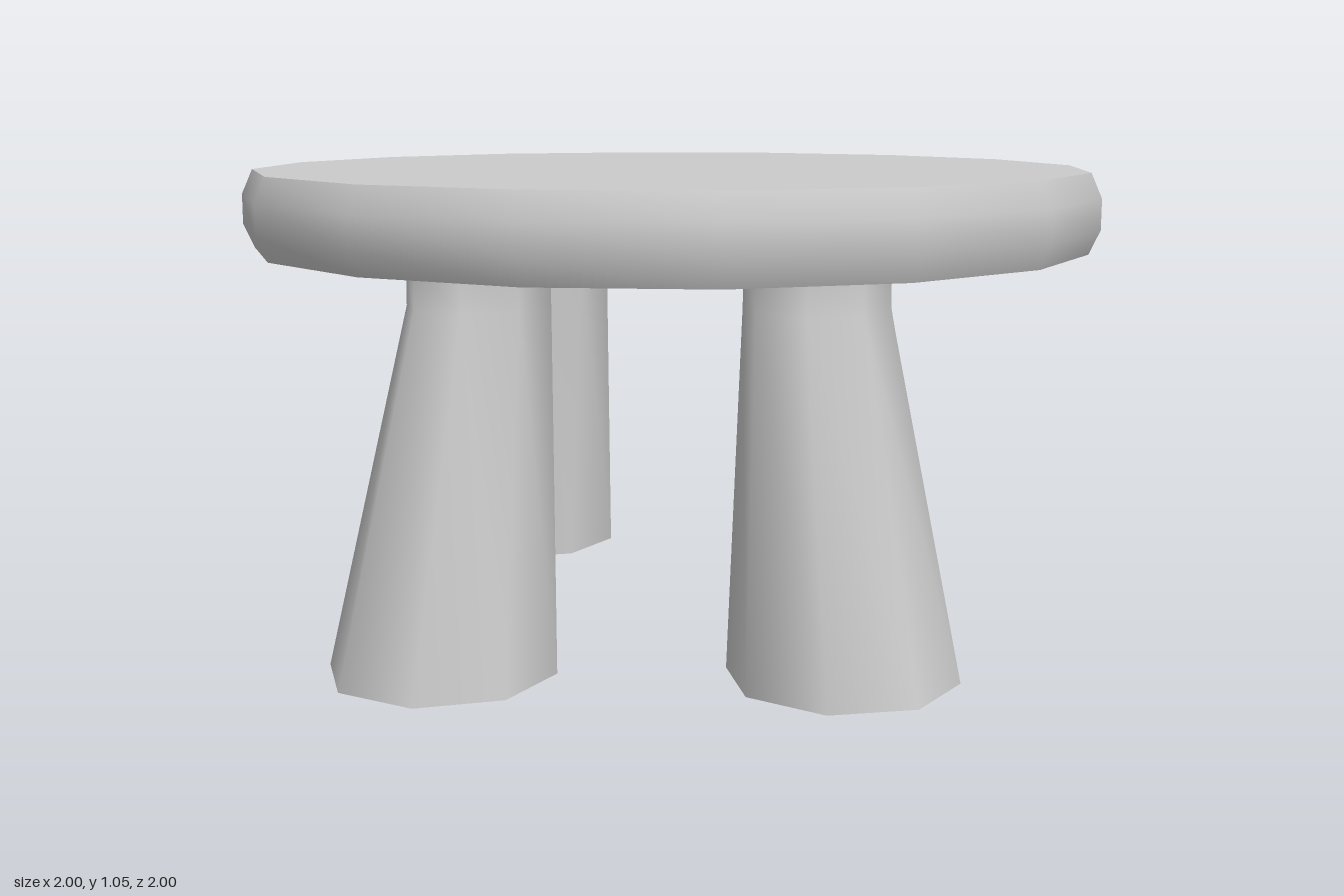
import * as THREE from 'three';
import { mergeVertices } from 'three/addons/utils/BufferGeometryUtils.js';

const material = new THREE.MeshStandardMaterial({ color: 0xcccccc });

// Faceted turned solid: smooth-shaded side plus flat caps.
// rings: [radius, y, centreX, centreZ] from bottom to top
function turned(name, rings, sides, start = 0) {
  const group = new THREE.Group();
  group.name = name;
  const lathe = new THREE.LatheGeometry(rings.map(([r, y]) => new THREE.Vector2(r, y)), sides, start);
  const pos = lathe.attributes.position;
  for (let i = 0; i < pos.count; i++) {
    const [, , cx, cz] = rings[i % rings.length];
    pos.setX(i, pos.getX(i) + cx);
    pos.setZ(i, pos.getZ(i) + cz);
  }
  // weld the seam so shading stays smooth all round
  lathe.deleteAttribute('uv');
  lathe.deleteAttribute('normal');
  const side = mergeVertices(lathe, 1e-4);
  side.computeVertexNormals();
  const sideMesh = new THREE.Mesh(side, material);
  sideMesh.name = name + 'Side';
  group.add(sideMesh);

  for (const [ring, dir, label] of [[rings[0], 1, 'Bottom'], [rings[rings.length - 1], -1, 'Top']]) {
    const [r, y, cx, cz] = ring;
    // line the cap corners up with the side corners
    const cap = new THREE.CircleGeometry(r, sides, dir * (start - Math.PI / 2));
    cap.rotateX(dir * Math.PI / 2);
    cap.translate(cx, y, cz);
    const mesh = new THREE.Mesh(cap, material);
    mesh.name = name + label;
    group.add(mesh);
  }
  // caps measure their angle from +x, the side from +z
  group.children.slice(1).forEach((m, i) => {
    const [r, y, cx, cz] = i === 0 ? rings[0] : rings[rings.length - 1];
    const p = m.geometry.attributes.position;
    const up = i === 1;
    for (let k = 1; k < p.count; k++) {
      const a = start + (up ? 1 : -1) * (k - 1) * 2 * Math.PI / sides;
      p.setXYZ(k, cx + r * Math.sin(a), y, cz + r * Math.cos(a));
    }
  });
  return group;
}

export function createModel() {
  const model = new THREE.Group();
  model.name = 'stool';

  // Round seat with bevelled rim
  model.add(turned('seat', [
    [0.975, 0.865, 0, 0], [1, 0.92, 0, 0], [1, 0.99, 0, 0], [0.975, 1.047, 0, 0],
  ], 16));

  // Splayed octagonal legs: foot centre, neck centre, twist in degrees
  const legs = [
    ['frontRightLeg', -0.545, 0.52, -0.455, 0.445, 13],
    ['frontLeftLeg', 0.30, 0.65, 0.25, 0.568, 18],
    ['backLeftLeg', 0.52, -0.492, 0.46, -0.435, 18],
    ['backRightLeg', -0.35, -0.62, -0.27, -0.552, 15],
  ];
  for (const [name, fx, fz, nx, nz, twist] of legs) {
    model.add(turned(name, [
      [0.25, 0, fx, fz], [0.157, 0.775, nx, nz], [0.155, 0.88, nx, nz],
    ], 8, -THREE.MathUtils.degToRad(twist)));
  }
  return model;
}
